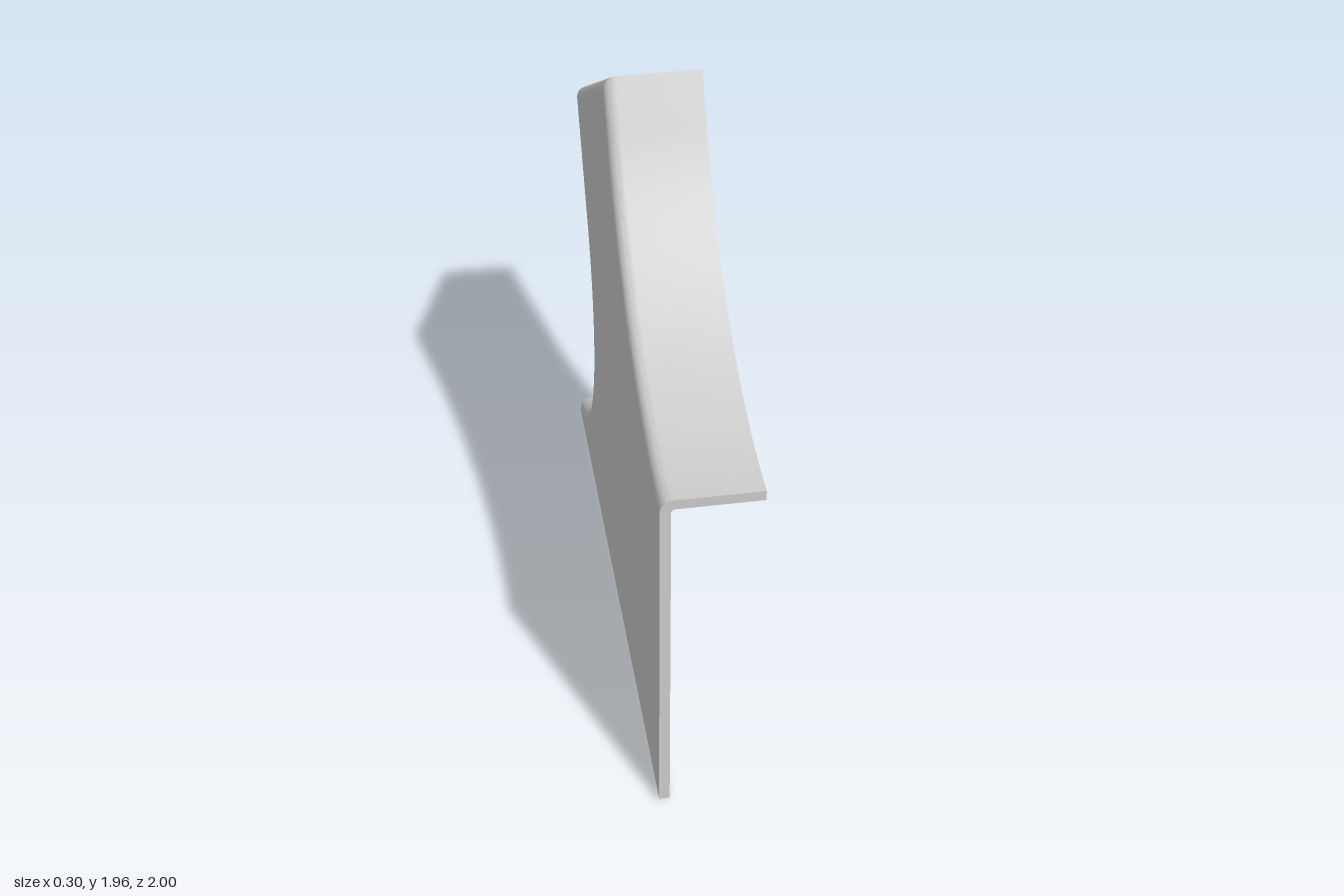
import * as THREE from 'three';
import { toCreasedNormals } from 'three/addons/utils/BufferGeometryUtils.js';

const HALF = 0.15;   // half of the overall width
const T = 0.033;     // sheet thickness
const R = 0.04;      // radius of the rounded outer edge

// Points on an arc in the (z, y) plane, angles in degrees
function arc(cz, cy, r, from, to, n) {
  return Array.from({ length: n + 1 }, (_, i) => {
    const a = THREE.MathUtils.degToRad(from + (to - from) * i / n);
    return new THREE.Vector2(cz + r * Math.cos(a), cy + r * Math.sin(a));
  });
}

// Inward mitred offset direction at every point of an open path
function miters(path) {
  const normals = path.slice(1).map((p, i) => {
    const d = p.clone().sub(path[i]).normalize();
    return new THREE.Vector2(-d.y, d.x);
  });
  return path.map((_, i) => {
    const a = normals[Math.max(i - 1, 0)];
    const b = normals[Math.min(i, normals.length - 1)];
    return a.clone().add(b).divideScalar(1 + a.dot(b));
  });
}

// Sweep a section of (x, inset) points along the path and cap both ends
function sweep(path, dirs, section) {
  const rings = path.map((p, i) => section.map((s) =>
    [s.x, p.y + dirs[i].y * s.y, p.x + dirs[i].x * s.y]));
  const pos = [];
  const tri = (a, b, c) => pos.push(...a, ...b, ...c);
  const n = section.length;
  for (let i = 0; i < rings.length - 1; i++) {
    for (let k = 0; k < n; k++) {
      const m = (k + 1) % n;
      const A = rings[i], B = rings[i + 1];
      tri(A[k], B[k], B[m]);
      tri(A[k], B[m], A[m]);
    }
  }
  const flat = section.map((s) => new THREE.Vector2(s.x, -s.y));
  const last = rings[rings.length - 1];
  for (const [a, b, c] of THREE.ShapeUtils.triangulateShape(flat, [])) {
    tri(rings[0][a], rings[0][b], rings[0][c]);
    tri(last[a], last[c], last[b]);
  }
  const g = new THREE.BufferGeometry();
  g.setAttribute('position', new THREE.Float32BufferAttribute(pos, 3));
  return toCreasedNormals(g, 0.5);
}

export function createModel() {
  const group = new THREE.Group();
  group.name = 'curvedCoverPanel';
  const material = new THREE.MeshStandardMaterial({ color: 0xcccccc, side: THREE.DoubleSide });

  // Outer outline: upper curve, slanted top end, rear curve down to the tip
  const path = [
    ...arc(1, 2.393, 1.163, 270, 210, 36),
    new THREE.Vector2(-0.091, 1.955),
    new THREE.Vector2(-0.861, 1.5),
    ...arc(-1.234, 0.728, 0.719, 30, -71, 44),
  ];
  const dirs = miters(path);

  // Rim wall with a rounded outer edge
  const section = [new THREE.Vector2(HALF, 0)];
  for (let i = 0; i <= 6; i++) {
    const a = i / 6 * Math.PI / 2;
    section.push(new THREE.Vector2(-HALF + R - R * Math.sin(a), R - R * Math.cos(a)));
  }
  section.push(
    new THREE.Vector2(-HALF + T, R),
    new THREE.Vector2(-HALF + T + 0.007, T),
    new THREE.Vector2(HALF, T),
  );
  const rim = new THREE.Mesh(sweep(path, dirs, section), material);
  rim.name = 'rimWall';
  group.add(rim);

  // Flat side plate filling the rim, with a free front and bottom edge
  const outline = path.map((p, i) => p.clone().addScaledVector(dirs[i], R));
  outline.push(new THREE.Vector2(-0.98, 0), new THREE.Vector2(1, 0.012));
  const plateGeometry = new THREE.ExtrudeGeometry(new THREE.Shape(outline), { depth: T, bevelEnabled: false });
  plateGeometry.rotateY(-Math.PI / 2);
  plateGeometry.translate(-HALF + T, 0, 0);
  const plate = new THREE.Mesh(toCreasedNormals(plateGeometry, 0.5), material);
  plate.name = 'sidePlate';
  group.add(plate);

  return group;
}
